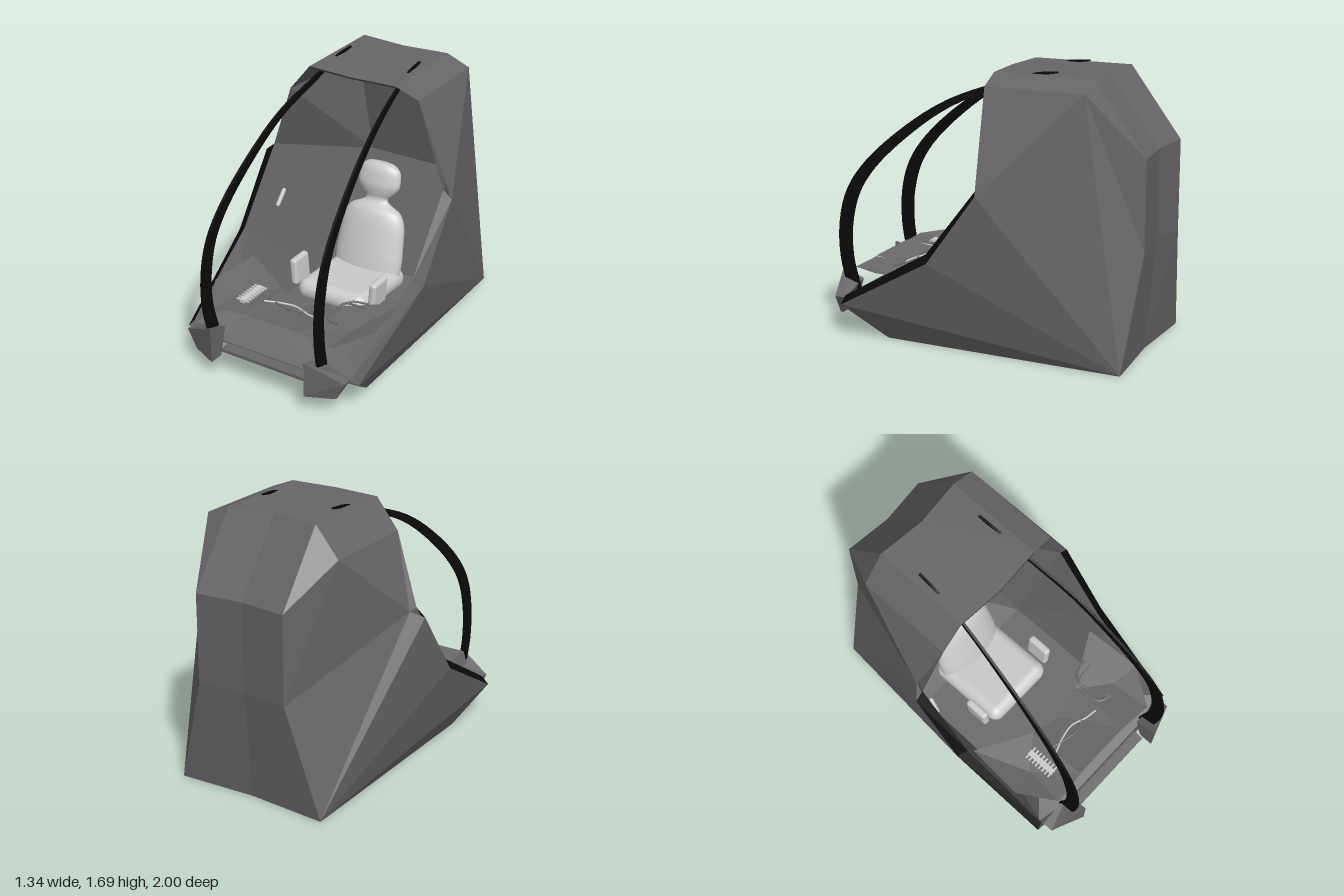
import * as THREE from 'three';
import { RoundedBoxGeometry } from 'three/addons/geometries/RoundedBoxGeometry.js';

const mat = (color, flatShading = true) =>
  new THREE.MeshStandardMaterial({ color, flatShading, side: THREE.DoubleSide });
const hull = mat(0x676567), liner = mat(0x6a686a), dark = mat(0x2c2b2c), black = mat(0x0b0b0b);
const pale = mat(0xcccccc, false);

// Flat-shaded surface from polygons, each a list of corner points
function panels(name, polys, material) {
  const pos = [];
  for (const p of polys)
    for (let i = 1; i < p.length - 1; i++) pos.push(...p[0], ...p[i], ...p[i + 1]);
  const g = new THREE.BufferGeometry();
  g.setAttribute('position', new THREE.Float32BufferAttribute(pos, 3));
  g.computeVertexNormals();
  return add(name, g, material);
}

function add(name, geometry, material, x = 0, y = 0, z = 0) {
  const m = new THREE.Mesh(geometry, material);
  m.name = name;
  m.position.set(x, y, z);
  return m;
}

// Rectangular bar swept along a curve, thicker towards its foot
function ribbon(name, points, width, thin, thick, material) {
  const curve = new THREE.CatmullRomCurve3(points.map(p => new THREE.Vector3(...p)));
  const n = 36, rings = [];
  for (let i = 0; i <= n; i++) {
    const t = i / n, c = curve.getPoint(t), d = curve.getTangent(t);
    const h = thin + (thick - thin) * Math.min(1, t * 1.4);
    const l = Math.hypot(d.y, d.z), ny = d.z / l * h / 2, nz = -d.y / l * h / 2, w = width / 2;
    rings.push([[w, 1], [-w, 1], [-w, -1], [w, -1]].map(([a, b]) => [c.x + a, c.y + b * ny, c.z + b * nz]));
  }
  const polys = [rings[0], rings[n]];
  for (let i = 0; i < n; i++)
    for (let k = 0; k < 4; k++) {
      const j = (k + 1) % 4;
      polys.push([rings[i][k], rings[i][j], rings[i + 1][j], rings[i + 1][k]]);
    }
  return panels(name, polys, material);
}

function tube(name, points, radius, material) {
  const c = new THREE.CatmullRomCurve3(points.map(p => new THREE.Vector3(...p)));
  return add(name, new THREE.TubeGeometry(c, 40, radius, 8), material);
}

function sidePoints(s, eave) {
  return {
    roofF: [0.3 * s, 1.67, -0.05], roofB: [0.3 * s, 1.67, -0.68],
    eaveF: [0.45 * s, eave, -0.06], eaveB: [0.45 * s, eave, -0.68],
    backTop: [0.3 * s, 1.24, -1], backMid: [0.3 * s, 0.69, -1],
    shoulder: [0.67 * s, 1.01, -0.1], knee: [0.67 * s, 0.57, 0.22], nose: [0.61 * s, 0.21, 0.85],
    botF: [0.5 * s, 0, 0.58], botB: [0.5 * s, 0, -0.94], notch: [0.6 * s, 1.05, -0.16],
    // inner rim of the opening
    post: [0.61 * s, 1.06, -0.1], kneeIn: [0.61 * s, 0.61, 0.25], noseIn: [0.57 * s, 0.26, 0.84],
    // inner back wall and floor
    wallTop: [0.3 * s, 1.55, -0.62], wallMid: [0.3 * s, 0.83, -0.8], wallLow: [0.3 * s, 0.1, -0.55],
    floorB: [0.45 * s, 0.06, -0.3], floorF: [0.46 * s, 0.06, 0.56],
    lipTop: [0.3 * s, 0.2, 0.88], lipBot: [0.3 * s, 0, 0.58],
  };
}

export function createModel() {
  const model = new THREE.Group();
  const L = sidePoints(1, 1.61), R = sidePoints(-1, 1.49);
  const roofF = [0, 1.67, -0.03], roofB = [0, 1.67, -0.65];
  const backTop = [0, 1.24, -0.97], backMid = [0, 0.69, -0.97], botB = [0, 0, -0.91];

  // Faceted outer hull; the two flanks fold along different creases
  const shell = [[botB, R.botB, R.botF, L.botF, L.botB], [L.lipTop, R.lipTop, R.lipBot, L.lipBot]];
  for (const p of [L, R])
    shell.push(
      [p.roofF, roofF, roofB, p.roofB], [p.roofB, roofB, backTop, p.backTop],
      [p.backTop, backTop, backMid, p.backMid], [p.backMid, backMid, botB, p.botB],
      [p.roofF, p.roofB, p.eaveB, p.eaveF], [p.roofB, p.backTop, p.eaveB],
      [p.eaveB, p.backTop, p.backMid], [p.botB, p.knee, p.shoulder],
      [p.botB, p.nose, p.knee], [p.botB, p.botF, p.nose],
      [p.nose, p.lipTop, p.lipBot, p.botF]);
  shell.push([L.eaveF, L.eaveB, L.shoulder], [L.eaveB, L.backMid, L.botB], [L.eaveB, L.botB, L.shoulder]);
  shell.push([R.eaveF, R.eaveB, R.notch], [R.eaveB, R.backMid, R.notch],
    [R.backMid, R.botB, R.notch], [R.notch, R.botB, R.shoulder]);
  model.add(panels('hull', shell, hull));

  // Cabin lining
  const lining = [
    [L.wallTop, R.wallTop, R.wallMid, L.wallMid], [L.wallMid, R.wallMid, R.wallLow, L.wallLow],
    [L.floorB, R.floorB, R.floorF, L.floorF], [L.wallLow, R.wallLow, R.floorB, L.floorB]];
  for (const p of [L, R])
    lining.push([p.roofF, p.eaveF, p.wallTop], [p.eaveF, p.wallTop, p.wallMid],
      [p.eaveF, p.wallMid, p.post], [p.post, p.wallMid, p.floorB], [p.wallMid, p.wallLow, p.floorB],
      [p.post, p.floorB, p.kneeIn], [p.kneeIn, p.floorB, p.floorF], [p.kneeIn, p.floorF, p.noseIn]);
  model.add(panels('cabinLining', lining, liner));
  model.add(panels('ceiling', [[roofF, R.roofF, R.wallTop, L.wallTop, L.roofF]
    .map(([x, y, z]) => [x, y - 0.01, z])], dark));

  // Black rim strips along the opening
  for (const p of [L, R])
    model.add(panels('openingRim', [
      [p.shoulder, p.post, p.kneeIn, p.knee], [p.knee, p.kneeIn, p.noseIn, p.nose]], black));

  for (const s of [1, -1]) {
    // Curved canopy strut, its tip passing through the roof
    model.add(ribbon('canopyStrut', [[0.245, 1.685, -0.43], [0.252, 1.667, -0.3], [0.275, 1.585, -0.05],
      [0.315, 1.465, 0.24], [0.345, 1.29, 0.5], [0.375, 1.06, 0.75], [0.39, 0.88, 0.87],
      [0.395, 0.67, 0.925], [0.395, 0.45, 0.925], [0.385, 0.22, 0.875]]
      .map(([x, y, z]) => [x * s, y, z]), 0.015, 0.008, 0.09, black));

    // Wedge-shaped strut foot at the front corner
    const foot = new THREE.BoxGeometry(1, 1, 1), a = foot.attributes.position;
    for (let i = 0; i < a.count; i++) {
      const outer = a.getX(i) * s > 0, top = a.getY(i) > 0, front = a.getZ(i) > 0;
      a.setXYZ(i, s * (outer ? (top ? 0.56 : 0.5) : 0.33),
        top ? (outer ? 0.24 : front ? 0.35 : 0.3) : 0.12,
        front ? (outer ? 0.92 : 0.995) : top ? 0.85 : 0.9);
    }
    foot.computeVertexNormals();
    model.add(add('strutFoot', foot, hull));

    // Side console wing with a folded outer edge
    const w = [[0.55, 0.43, 0.24], [0.2, 0.39, 0.43], [0.2, 0.41, 0.83], [0.42, 0.4, 0.85],
      [0.57, 0.43, 0.62], [0.4, 0.37, 0.58]].map(([x, y, z]) => [x * s, y, z]);
    model.add(panels('sideConsole', [[w[0], w[1], w[5]], [w[1], w[2], w[5]], [w[2], w[3], w[5]],
      [w[3], w[4], w[5]], [w[4], w[0], w[5]]], liner));
  }

  // Centre dash, tilted up at the front, and the recessed wall below it
  model.add(panels('centreDash', [[[0, 0.35, 0.47], [0.2, 0.37, 0.43], [0.2, 0.415, 0.83],
    [-0.2, 0.415, 0.83], [-0.2, 0.37, 0.43]]], liner));
  const dash = [[[-0.33, 0.35, 0.6], [0.33, 0.35, 0.6], [0.35, 0.2, 0.86], [-0.35, 0.2, 0.86]]];
  for (const s of [1, -1])
    dash.push([[0.33 * s, 0.35, 0.6], [0.35 * s, 0.2, 0.86], [0.57 * s, 0.24, 0.82]]);
  model.add(panels('dashFront', dash, liner));

  // Nose lip with its dark sloping underside
  const row = (y, z) => [[-0.3, y, z], [0.3, y, z]];
  const span = ([a, b], [c, d]) => [a, b, d, c];
  model.add(panels('noseLip', [span(row(0.2, 0.87), row(0.195, 0.935)),
    span(row(0.195, 0.935), row(0.175, 0.935))], hull));
  model.add(panels('noseUnderside', [span(row(0.175, 0.935), row(0.08, 0.71))], dark));
  model.add(add('lowerGrille', new THREE.BoxGeometry(0.52, 0.02, 0.06), dark, 0, 0.055, 0.64));

  // Seat: back, neck and headrest lathed in one, flattened and leaned back
  const seat = new THREE.Group();
  seat.name = 'seat';
  const profile = new THREE.SplineCurve([[0, 0], [0.21, 0.01], [0.24, 0.1], [0.235, 0.22], [0.222, 0.36],
    [0.185, 0.44], [0.12, 0.478], [0.085, 0.5], [0.08, 0.525], [0.11, 0.555], [0.145, 0.6], [0.15, 0.65],
    [0.14, 0.71], [0.09, 0.75], [0, 0.757]].map(p => new THREE.Vector2(...p)));
  const points = profile.getPoints(56).map(p => new THREE.Vector2(Math.max(0, p.x), p.y));
  const back = add('seatBackAndHeadrest', new THREE.LatheGeometry(points, 36), pale, 0, 0.2, -0.28);
  back.scale.z = 0.42;
  back.rotation.x = -0.25;
  const cushion = add('cushion', new RoundedBoxGeometry(0.5, 0.14, 0.56, 6, 0.068), pale, 0, 0.22, -0.1);
  cushion.rotation.x = -0.06;
  seat.add(back, cushion);
  for (const s of [1, -1]) {
    const arm = add('armrest', new RoundedBoxGeometry(0.05, 0.18, 0.16, 3, 0.02), pale, 0.29 * s, 0.32, 0.06);
    arm.rotation.z = -0.08 * s;
    seat.add(arm);
  }
  seat.position.x = -0.03;
  model.add(seat);

  // Grab handle on the cabin wall
  const handle = add('grabHandle', new THREE.CapsuleGeometry(0.014, 0.1, 6, 12), pale, -0.555, 0.7, -0.08);
  handle.rotation.set(-0.6, 0, -0.1);
  model.add(handle);

  // Twisted cables over the dash
  for (const s of [1, -1])
    model.add(tube('cable', [-0.2, -0.1, 0, 0.1, 0.18].map((x, i) =>
      [x, 0.4, 0.6 + s * 0.025 * Math.cos(i * Math.PI / 2 + 0.4)]), 0.006, s > 0 ? pale : liner));
  for (const k of [0, 1])
    model.add(tube('consolePipe', [[0.38, 0.42, 0.35 + k * 0.05], [0.27 - k * 0.03, 0.42, 0.38 + k * 0.04],
      [0.22 + k * 0.03, 0.41, 0.5], [0.24, 0.41, 0.6], [0.32, 0.41, 0.63 - k * 0.02]], 0.006, liner));

  // Toothed lever block on the right console
  const comb = new THREE.Group();
  comb.name = 'leverBlock';
  comb.add(add('spine', new THREE.BoxGeometry(0.035, 0.02, 0.2), pale));
  for (let i = 0; i < 8; i++)
    comb.add(add('tooth', new THREE.BoxGeometry(0.09, 0.01, 0.01), pale, 0, 0.005, -0.09 + i * 0.026));
  comb.position.set(-0.31, 0.4, 0.6);
  model.add(comb);

  return model;
}
